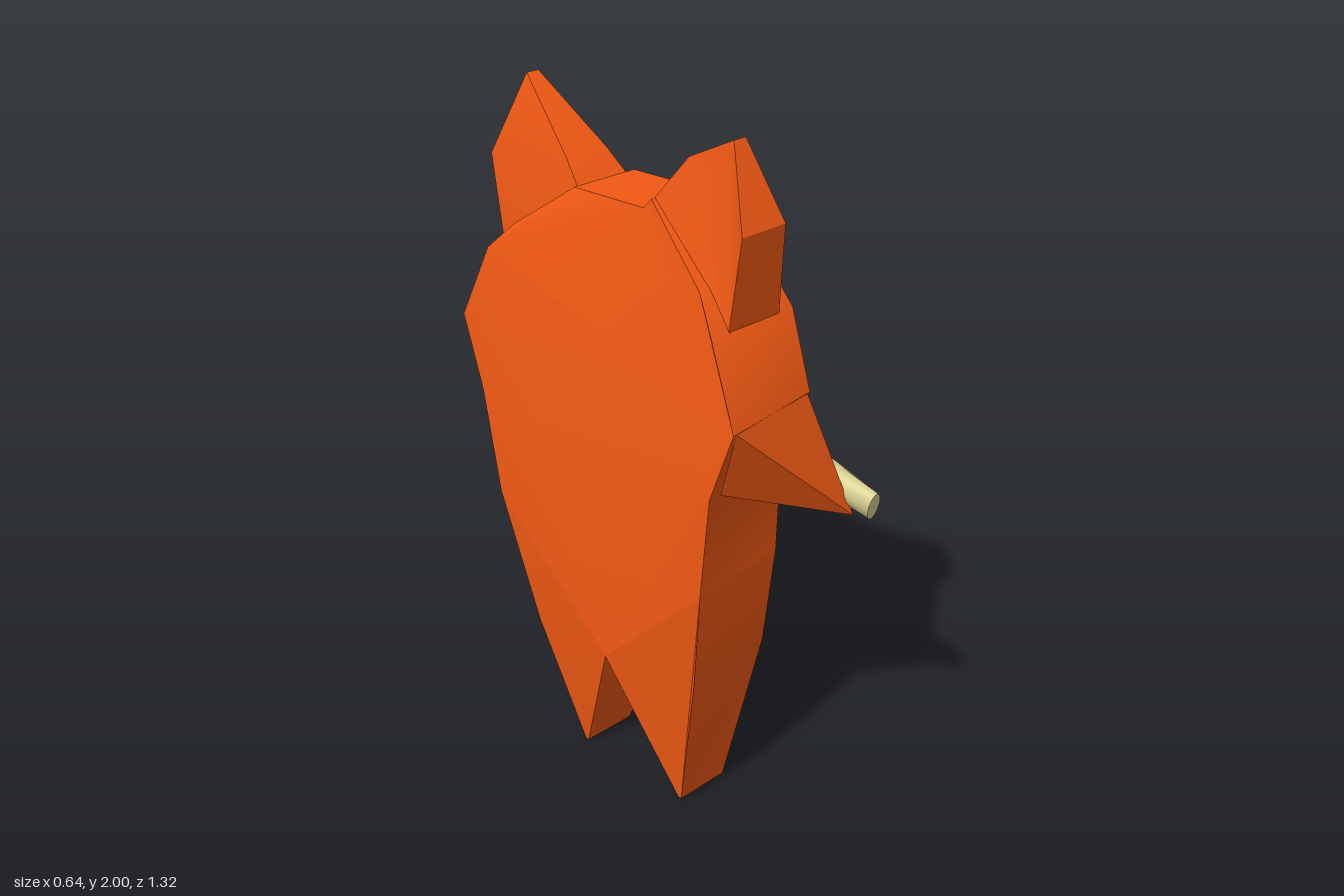
import * as THREE from 'three';
import { toCreasedNormals } from 'three/addons/utils/BufferGeometryUtils.js';
import { ConvexGeometry } from 'three/addons/geometries/ConvexGeometry.js';

const mat = (color) => new THREE.MeshStandardMaterial({ color, side: THREE.DoubleSide });
const orange = mat(0xf45a14), grey = mat(0xcccccc), wood = mat(0xd8d090);
const black = mat(0x0a0a0a), holeTone = mat(0x6f6a45);

function add(parent, name, geometry, material, x = 0, y = 0, z = 0) {
  const mesh = new THREE.Mesh(geometry, material);
  mesh.name = name;
  mesh.position.set(x, y, z);
  parent.add(mesh);
  return mesh;
}

function fromPoints(list) {
  const geometry = new THREE.BufferGeometry().setFromPoints(list);
  geometry.computeVertexNormals();
  return toCreasedNormals(geometry, 0.55);
}

// Solid between a front and a back outline, counterclockwise from the front.
// Each row: front x, y, z, then back x, y, z.
function addSlab(parent, name, rows, frontMaterial = orange) {
  const front = rows.map((r) => new THREE.Vector3(r[0], r[1], r[2]));
  const back = rows.map((r) => new THREE.Vector3(r[3], r[4], r[5]));
  const flat = (list) => list.map((p) => new THREE.Vector2(p.x, p.y));
  const cap = [], shell = [];
  for (const [a, b, c] of THREE.ShapeUtils.triangulateShape(flat(front), []))
    cap.push(front[a], front[b], front[c]);
  for (const [a, b, c] of THREE.ShapeUtils.triangulateShape(flat(back), []))
    shell.push(back[c], back[b], back[a]);
  front.forEach((p, i) => {
    const j = (i + 1) % front.length;
    shell.push(p, back[i], back[j], p, back[j], front[j]);
  });
  if (frontMaterial === orange) {
    add(parent, name, fromPoints(shell.concat(cap)), orange);
  } else {
    add(parent, name, fromPoints(shell), orange);
    add(parent, name + 'Inner', fromPoints(cap), frontMaterial);
  }
}

// Row helper: same outline front and back, two depths
const row = (x, y, zf, zb) => [x, y, zf, x, y, zb];
const cone = (...pts) => new ConvexGeometry(pts.map((p) => new THREE.Vector3(...p)));

function addFlute(parent) {
  const flute = new THREE.Group();
  flute.name = 'flute';
  const half = 0.665;
  // Hollow tube with a narrowed neck and flared bell
  const profile = [[0.001, -half], [0.041, -half], [0.043, -0.5], [0.038, 0.45], [0.031, 0.6],
    [0.031, 0.62], [0.038, half], [0.026, half], [0.024, 0.5], [0.001, 0.5]];
  const tube = new THREE.LatheGeometry(profile.map(([r, y]) => new THREE.Vector2(r, y)), 20);
  // Flatten the blowing end into a beak
  const pos = tube.attributes.position;
  for (let i = 0; i < pos.count; i++) {
    const t = THREE.MathUtils.clamp((-0.52 - pos.getY(i)) / 0.145, 0, 1);
    pos.setZ(i, pos.getZ(i) * (1 - 0.45 * t));
  }
  add(flute, 'fluteTube', toCreasedNormals(tube, 0.6), wood);
  // Finger holes and window
  [-0.5, -0.1, 0, 0.097, 0.193, 0.361].forEach((y, i) => {
    const hole = add(flute, 'fluteHole', new THREE.RingGeometry(0.006, 0.011, 12), holeTone, 0, y, 0.0435);
    if (i === 0) hole.scale.y = 0.8;
  });
  flute.position.set(0.002, 1.125, 0.098);
  flute.rotation.z = -Math.PI / 2 + 0.193;
  parent.add(flute);
}

export function createModel() {
  const root = new THREE.Group();
  root.name = 'foxWithFlute';
  // Built facing local +z, then turned to face +x
  const fox = new THREE.Group();
  fox.name = 'fox';
  fox.rotation.y = Math.PI / 2;
  root.add(fox);

  // Head and torso in one flat mass
  addSlab(fox, 'body', [
    row(-0.03, 0.41, -0.02, -0.3),
    [0.36, 0.79, 0, 0.39, 0.79, -0.32],
    [0.4, 1.1, 0, 0.45, 1.1, -0.32],
    [0.47, 1.31, 0, 0.52, 1.31, -0.32],
    row(0.42, 1.53, -0.01, -0.3),
    row(0.34, 1.61, -0.02, -0.27),
    row(0.12, 1.76, -0.03, -0.24),
    row(-0.14, 1.77, -0.03, -0.24),
    row(-0.17, 1.8, -0.03, -0.24),
    row(-0.37, 1.62, -0.02, -0.27),
    row(-0.44, 1.53, -0.01, -0.3),
    [-0.5, 1.31, 0, -0.54, 1.31, -0.32],
    [-0.41, 1.1, 0, -0.46, 1.1, -0.32],
    [-0.4, 0.8, 0, -0.43, 0.8, -0.32],
  ]);

  // Legs tapering to an edge
  addSlab(fox, 'leftLeg', [
    [-0.4, 0.8, 0, -0.43, 0.8, -0.32],
    [-0.37, 0.5, -0.01, -0.4, 0.5, -0.31],
    row(-0.28, 0.01, -0.07, -0.24),
    row(-0.268, 0.01, -0.07, -0.24),
    row(-0.03, 0.41, -0.02, -0.3),
  ]);
  addSlab(fox, 'rightLeg', [
    row(-0.03, 0.41, -0.02, -0.3),
    row(0.124, 0, -0.07, -0.24),
    row(0.136, 0, -0.07, -0.24),
    [0.24, 0.42, -0.01, 0.26, 0.4, -0.3],
    [0.36, 0.79, 0, 0.39, 0.79, -0.32],
  ]);

  // Ears with pale insides
  addSlab(fox, 'leftEar', [
    row(-0.44, 1.52, -0.06, -0.24),
    row(-0.36, 1.6, -0.06, -0.24),
    row(-0.16, 1.79, -0.06, -0.23),
    row(-0.26, 1.92, -0.1, -0.2),
    row(-0.39, 1.985, -0.14, -0.18),
    row(-0.48, 1.78, -0.09, -0.24),
  ], grey);
  addSlab(fox, 'rightEar', [
    row(0.42, 1.52, -0.06, -0.24),
    row(0.46, 1.775, -0.09, -0.24),
    row(0.37, 2, -0.14, -0.18),
    row(0.17, 1.82, -0.08, -0.22),
    row(0.12, 1.76, -0.06, -0.23),
    row(0.33, 1.6, -0.06, -0.24),
  ], grey);

  // Pointed arms
  add(fox, 'leftArm', cone([-0.54, 1.31, -0.31], [-0.46, 1.1, -0.28], [-0.4, 1.12, -0.01],
    [-0.5, 1.31, -0.01], [-0.59, 0.95, 0.09]), orange);
  add(fox, 'rightArm', cone([0.52, 1.31, -0.31], [0.45, 1.1, -0.28], [0.4, 1.12, -0.01],
    [0.47, 1.31, -0.01], [0.63, 1.15, 0.18]), orange);

  // Belly patch
  const belly = new THREE.Shape([[-0.35, 1.11], [-0.31, 0.79], [-0.14, 0.555], [0.09, 0.55],
    [0.29, 0.8], [0.33, 1.11]].map(([x, y]) => new THREE.Vector2(x, y)));
  add(fox, 'belly', new THREE.ShapeGeometry(belly), grey, 0, 0, 0.004);

  // Muzzle: tapering octagonal prism
  const ring = [[-0.19, 0.05], [-0.15, -0.06], [-0.07, -0.12], [0.07, -0.12],
    [0.15, -0.06], [0.19, 0.05], [0.08, 0.12], [-0.08, 0.12]];
  addSlab(fox, 'muzzle', ring.map(([x, y]) =>
    [x * 0.6 - 0.025, y * 0.55 + 1.273, 0.315, x - 0.025, y + 1.27, -0.01]));
  const nose = new THREE.Shape([[-0.1, 1.24], [-0.022, 1.205], [0.05, 1.24]]
    .map(([x, y]) => new THREE.Vector2(x, y)));
  add(fox, 'nose', new THREE.ExtrudeGeometry(nose, { depth: 0.006, bevelEnabled: false }), black, 0, 0, 0.313);

  // Eyes
  for (const x of [-0.237, 0.2]) {
    add(fox, 'eye', new THREE.SphereGeometry(1, 24, 16), grey, x, 1.44, 0).scale.set(0.057, 0.043, 0.07);
    add(fox, 'pupil', new THREE.SphereGeometry(0.01, 12, 8), black, x, 1.44, 0.07);
  }

  addFlute(fox);
  return root;
}
